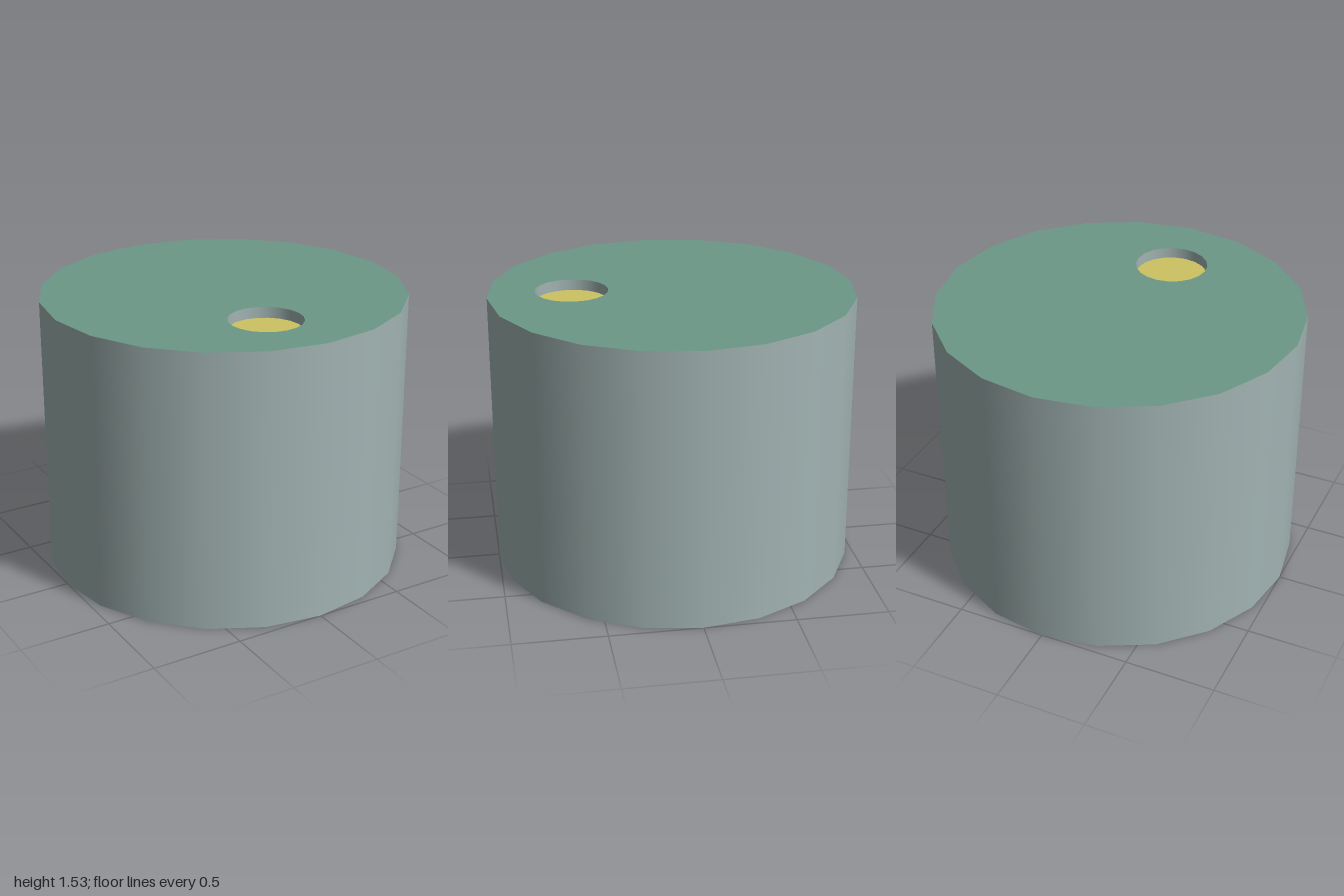
import * as THREE from 'three';

const SIDES = 20, HEIGHT = 1.53, RADIUS = 1;
const HOLE = { x: -0.07, z: 0.54, radius: 0.2, depth: 0.06 };

const paint = (name, color) => {
  const material = new THREE.MeshStandardMaterial({ color });
  material.name = name;
  return material;
};

// Regular polygon outline in the shape plane
const ring = (cx, cy, r) => Array.from({ length: SIDES }, (_, i) => {
  const a = (i / SIDES) * Math.PI * 2;
  return new THREE.Vector2(cx + r * Math.cos(a), cy + r * Math.sin(a));
});

export function createModel() {
  const model = new THREE.Group();
  model.name = 'drum';
  const grey = paint('grey', 0xa2b4b3);
  const green = paint('green', 0x6b9887);
  const yellow = paint('yellow', 0xcdc263);
  const black = paint('black', 0x050505);

  const add = (name, geometry, material, x = 0, y = 0, z = 0) => {
    const mesh = new THREE.Mesh(geometry, material);
    mesh.name = name;
    mesh.position.set(x, y, z);
    model.add(mesh);
  };

  // Smooth outer wall
  add('wall', new THREE.CylinderGeometry(RADIUS, RADIUS, HEIGHT, SIDES, 1, true), grey, 0, HEIGHT / 2);

  // Top face with a round opening
  const outline = new THREE.Shape(ring(0, 0, RADIUS));
  outline.holes.push(new THREE.Path(ring(HOLE.x, -HOLE.z, HOLE.radius)));
  add('top', new THREE.ShapeGeometry(outline).rotateX(-Math.PI / 2), green, 0, HEIGHT);

  // Shallow recess: inward-facing wall (profile runs downward) and floor
  const profile = [new THREE.Vector2(HOLE.radius, 0), new THREE.Vector2(HOLE.radius, -HOLE.depth)];
  add('recessWall', new THREE.LatheGeometry(profile, SIDES), grey, HOLE.x, HEIGHT, HOLE.z);
  add('recessFloor', new THREE.CircleGeometry(HOLE.radius, SIDES).rotateX(-Math.PI / 2), yellow,
    HOLE.x, HEIGHT - HOLE.depth, HOLE.z);

  // Underside
  add('base', new THREE.CircleGeometry(RADIUS, SIDES).rotateX(Math.PI / 2), black);

  return model;
}
